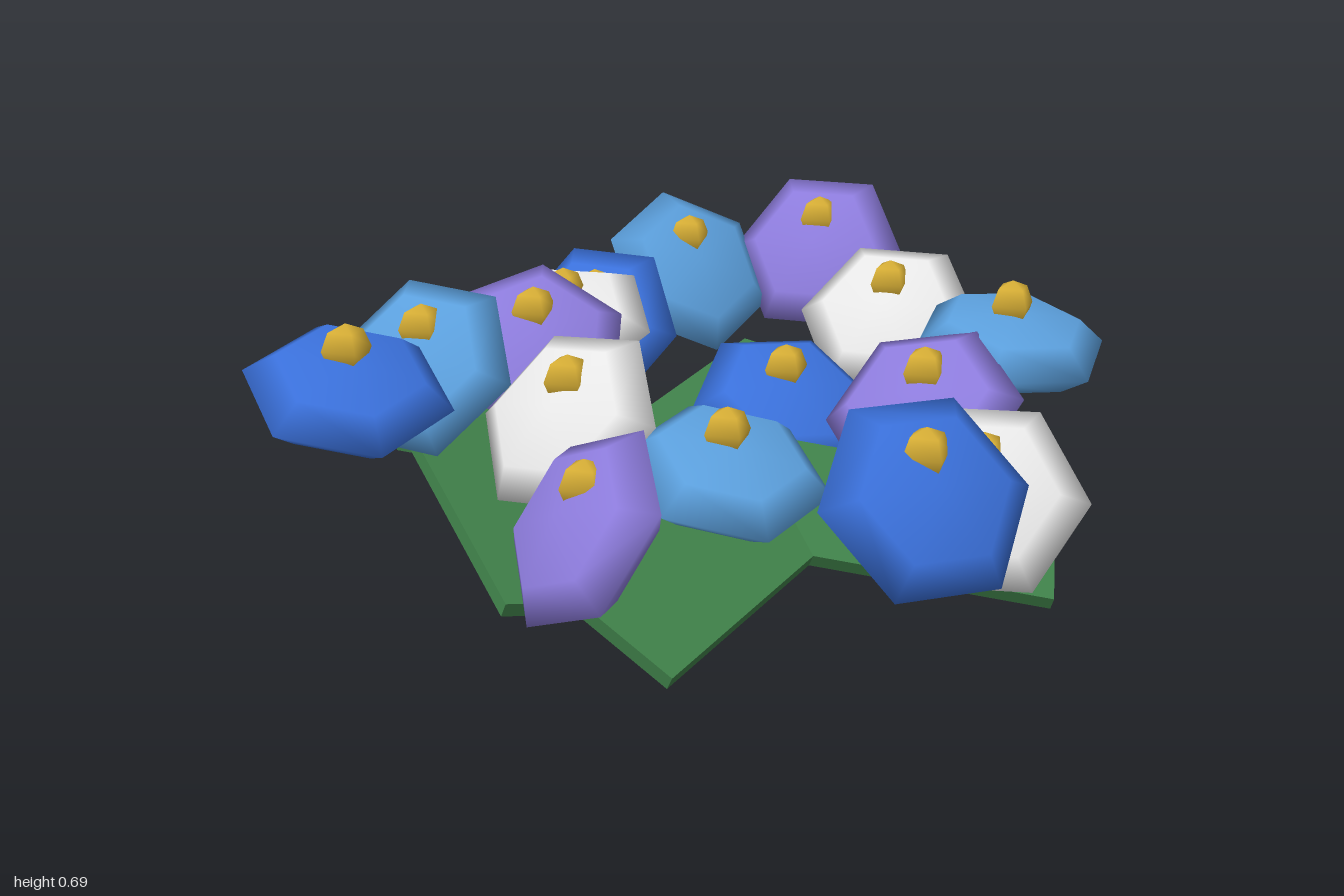
import * as THREE from 'three';

const mat = (name, color) => Object.assign(new THREE.MeshStandardMaterial({ color }), { name });
const rad = THREE.MathUtils.degToRad;

export function createModel() {
  const model = new THREE.Group();
  model.name = 'flowerCluster';

  const blue = mat('deep blue', 0x3a70da);
  const sky = mat('sky blue', 0x5b9fdc);
  const violet = mat('violet', 0x8c7bdb);
  const white = mat('white', 0xe6e6e6);
  const gold = mat('gold', 0xd9b036);
  const green = mat('leaf green', 0x3f8049);

  // Leaves: six slabs in a ring, yawed in turn, all pitched forward and rolled inward
  const leafGeo = new THREE.BoxGeometry(0.335, 0.035, 0.69);
  for (let i = 0; i < 6; i++) {
    const a = (i * Math.PI) / 3;
    const leaf = new THREE.Mesh(leafGeo, green);
    leaf.name = 'leaf';
    leaf.position.set(0.1 + Math.cos(a) * 0.52, 0.177, -0.09 + Math.sin(a) * 0.52);
    leaf.rotation.set(0.36, a, 0.2);
    model.add(leaf);
  }

  // Blossom heads: flattened six-sided spheres, each with a small gold centre above
  const headGeo = new THREE.SphereGeometry(0.237, 6, 4).scale(1, 0.35, 1);
  const centreGeo = new THREE.SphereGeometry(0.058, 4, 4);
  const up = new THREE.Vector3(0, 1, 0);

  function addFlower(colour, x, y, z, tilt, leanX, leanZ, spin) {
    const flower = new THREE.Group();
    flower.name = 'flower';
    flower.position.set(x, y, z);

    const t = rad(tilt);
    const k = Math.sin(t) / Math.hypot(leanX, leanZ);
    const normal = new THREE.Vector3(leanX * k, Math.cos(t), leanZ * k);
    const head = new THREE.Mesh(headGeo, colour);
    head.name = 'petals';
    head.quaternion.setFromUnitVectors(up, normal)
      .multiply(new THREE.Quaternion().setFromAxisAngle(up, -rad(spin)));

    const centre = new THREE.Mesh(centreGeo, gold);
    centre.name = 'flowerCentre';
    centre.position.y = 0.095;
    flower.add(head, centre);
    model.add(flower);
  }

  // colour, x, y, z, tilt, lean direction x and z, spin
  const flowers = [
    [blue, -0.80, 0.52, -0.10, 22, 0, 1, 30],
    [blue, 0.09, 0.39, -0.77, 57, -0.77, 0.63, 51],
    [blue, 0.30, 0.33, -0.105, 33, -0.1, 1, 11],
    [blue, 0.10, 0.43, 0.845, 54, -0.1, 1, 6],
    [sky, -0.535, 0.47, -0.36, 52, -0.75, 0.67, 53],
    [sky, -0.06, 0.335, 0.285, 22, 0, 1, 33],
    [sky, 0.40, 0.49, -0.835, 53, 0.1, 1, 25],
    [sky, 0.76, 0.50, 0.17, 12, 0, 1, 13],
    [violet, -0.225, 0.46, -0.425, 45, -0.3, 0.95, 57],
    [violet, -0.49, 0.34, 0.48, 56, -1, 0.08, 59],
    [violet, 0.46, 0.40, 0.265, 42, -0.84, 0.54, 40],
    [violet, 0.75, 0.525, -0.745, 56, -0.7, 0.7, 45],
    [white, -0.087, 0.46, -0.565, 28, -0.8, 0.6, 48],
    [white, -0.355, 0.44, 0.085, 50, -0.9, 0.42, 57],
    [white, 0.75, 0.43, -0.37, 44, -0.7, 0.7, 45],
    [white, 0.39, 0.31, 0.62, 53, -0.57, 0.82, 35],
  ];
  for (const f of flowers) addFlower(...f);

  return model;
}
